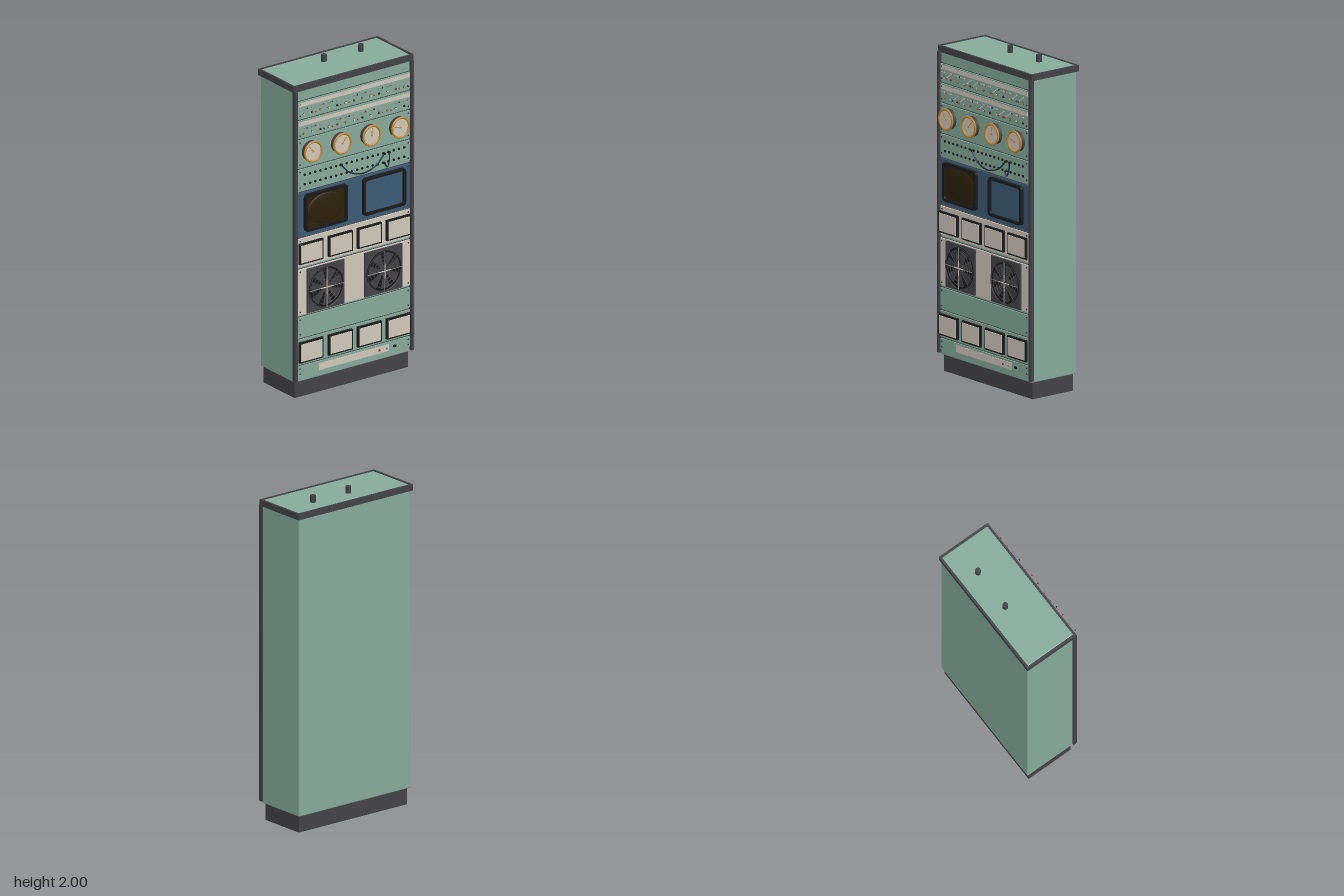
import * as THREE from 'three';
import { RoundedBoxGeometry } from 'three/addons/geometries/RoundedBoxGeometry.js';

const mat = (name, color) => Object.assign(new THREE.MeshStandardMaterial({ color }), { name });
const M = {
  green: mat('sageGreen', 0x85aa9a), charcoal: mat('charcoal', 0x434146), black: mat('black', 0x1b1b1c),
  cream: mat('cream', 0xcfc7ba), blue: mat('steelBlue', 0x3b5a73), gold: mat('brass', 0xc28a2c),
  brown: mat('amberGlass', 0x2c2009), red: mat('red', 0xa83832), steel: mat('steel', 0x9b9c9e),
  navy: mat('cableBlue', 0x1a2d3a),
};
const FACE = 0.157; // z of the panel fronts

export function createModel() {
  const root = new THREE.Group();
  root.name = 'equipmentRack';

  const add = (name, geo, material, x = 0, y = 0, z = 0, parent = root) => {
    const m = new THREE.Mesh(geo, material);
    m.name = name;
    m.position.set(x, y, z);
    parent.add(m);
    return m;
  };
  // Box given by its extents
  const box = (name, material, x0, x1, y0, y1, z0, z1, parent) =>
    add(name, new THREE.BoxGeometry(x1 - x0, y1 - y0, z1 - z0), material,
      (x0 + x1) / 2, (y0 + y1) / 2, (z0 + z1) / 2, parent);
  // Disc or rod whose axis points to the front
  const rod = (name, material, r, x, y, z0, z1, n = 12, parent) =>
    add(name, new THREE.CylinderGeometry(r, r, z1 - z0, n).rotateX(Math.PI / 2), material, x, y, (z0 + z1) / 2, parent);
  const group = (name, x, y) => {
    const g = new THREE.Group();
    g.name = name;
    g.position.set(x, y, 0);
    root.add(g);
    return g;
  };
  const roundRect = (S, w, h, r) => {
    const s = new S(), a = w / 2, b = h / 2;
    s.moveTo(-a + r, -b).lineTo(a - r, -b).quadraticCurveTo(a, -b, a, -b + r);
    s.lineTo(a, b - r).quadraticCurveTo(a, b, a - r, b).lineTo(-a + r, b);
    s.quadraticCurveTo(-a, b, -a, b - r).lineTo(-a, -b + r).quadraticCurveTo(-a, -b, -a + r, -b);
    return s;
  };
  // Rectangular frame with a hole, lying in the xy plane
  const frame = (w, h, r, t, depth, ri = r) => {
    const s = roundRect(THREE.Shape, w, h, r);
    s.holes.push(roundRect(THREE.Path, w - 2 * t, h - 2 * t, ri));
    return new THREE.ExtrudeGeometry(s, { depth, bevelEnabled: false, curveSegments: 6 });
  };

  // Cabinet shell
  box('plinth', M.charcoal, -0.408, 0.408, 0, 0.102, -0.175, 0.128);
  add('cabinet', new RoundedBoxGeometry(0.84, 1.856, 0.336, 2, 0.008), M.green, 0, 1.029, -0.024);
  add('topTrim', frame(0.864, 0.355, 0.004, 0.014, 0.038).rotateX(-Math.PI / 2), M.charcoal, 0, 1.922, -0.0235);
  for (const s of [-1, 1]) box('frontRail', M.charcoal, s * 0.419 - 0.009, s * 0.419 + 0.009, 0.113, 1.925, 0.135, 0.162);
  for (const x of [-0.047, 0.218]) {
    add('roofPost', new THREE.CylinderGeometry(0.0165, 0.0165, 0.05, 20), M.charcoal, x, 1.975, -0.075);
  }

  // Rack panels, each with a dark gap behind it and corner screws
  const panels = [
    ['switchPanel', M.green, 1.753, 1.857], ['switchPanel', M.green, 1.628, 1.738],
    ['gaugePanel', M.green, 1.447, 1.618], ['patchPanel', M.green, 1.303, 1.432],
    ['screenPanel', M.blue, 1.01, 1.286], ['meterPanel', M.cream, 0.825, 1.0],
    ['fanPanel', M.cream, 0.525, 0.808], ['blankPanel', M.green, 0.385, 0.508],
    ['meterPanel', M.green, 0.215, 0.37], ['powerPanel', M.green, 0.138, 0.203],
  ];
  for (const [name, m, y0, y1] of panels) {
    box(name + 'Gap', M.charcoal, -0.407, 0.407, y0 - 0.003, y1 + 0.003, 0.14, 0.148);
    box(name, m, -0.404, 0.404, y0, y1, 0.142, FACE);
    for (const x of [-0.39, 0.39]) for (const y of [y0 + 0.016, y1 - 0.016]) {
      rod('screw', M.charcoal, 0.005, x, y, FACE, FACE + 0.002, 8);
    }
  }

  // Toggle switches and indicator lamps
  const lamps = [M.cream, M.gold, M.black, M.red, M.cream];
  [1.838, 1.717].forEach((top, row) => {
    box('labelStrip', M.cream, -0.4, 0.4, top - 0.012, top + 0.012, FACE, FACE + 0.002);
    for (let i = 0; i < 13; i++) {
      const x = -0.365 + i * 0.0603, y = top - 0.03, up = (i * 5 + row * 3) % 7 < 4 ? 1 : -1;
      rod('toggleCollar', M.steel, 0.007, x, y, FACE, FACE + 0.008, 8);
      const lever = add('toggleLever', new THREE.CylinderGeometry(0.003, 0.0022, 0.04, 6), M.steel, x, y + up * 0.009, 0.179);
      lever.rotation.x = Math.PI / 2 - up * 0.45;
      const tip = add('toggleTip', new THREE.SphereGeometry(0.0042, 8, 6), (i + row) % 3 ? M.red : M.black, x, y + up * 0.017, 0.194);
      tip.scale.y = 1.3;
      rod('lampRim', M.charcoal, 0.0075, x, top - 0.062, FACE, FACE + 0.003, 10);
      rod('lamp', lamps[(i * 3 + row) % 5], 0.0055, x, top - 0.062, FACE, FACE + 0.007, 10);
    }
  });

  // Round gauges with brass rims
  const columns = [-0.317, -0.107, 0.104, 0.312];
  [0.65, -0.7, -0.1, 1.3].forEach((angle, i) => {
    const g = group('gauge', columns[i], 1.54);
    rod('gaugeBody', M.charcoal, 0.061, 0, 0, FACE, 0.183, 36, g);
    add('gaugeRim', new THREE.TorusGeometry(0.06, 0.0065, 8, 40), M.gold, 0, 0, 0.187, g);
    rod('gaugeDial', M.cream, 0.056, 0, 0, 0.18, 0.186, 36, g);
    rod('needleHub', M.gold, 0.006, 0, 0, 0.185, 0.19, 12, g);
    const needle = new THREE.BoxGeometry(0.0045, 0.048, 0.002).translate(0, 0.022, 0).rotateZ(angle);
    add('gaugeNeedle', needle, M.gold, 0, 0, 0.188, g);
  });

  // Patch sockets and hanging cables
  for (const y of [1.396, 1.337]) for (let i = 0; i < 20; i++) {
    rod('patchSocket', M.black, 0.0075, -0.358 + i * 0.0377, y, FACE, FACE + 0.005, 10);
  }
  const cable = (points) => {
    const path = new THREE.CatmullRomCurve3(points.map((p) => new THREE.Vector3(...p)));
    add('patchCable', new THREE.TubeGeometry(path, 28, 0.0045, 6), M.navy);
    for (const p of [points[0], points[points.length - 1]]) rod('cablePlug', M.black, 0.007, p[0], p[1], FACE, 0.174, 10);
  };
  cable([[-0.1, 1.396, 0.168], [-0.045, 1.341, 0.173], [0.052, 1.313, 0.175], [0.15, 1.341, 0.173], [0.21, 1.396, 0.168]]);
  cable([[0.246, 1.396, 0.168], [0.241, 1.34, 0.173], [0.226, 1.312, 0.175], [0.21, 1.337, 0.168]]);

  // Display screens in rounded bezels
  for (const [x, m] of [[-0.211, M.brown], [0.208, M.blue]]) {
    const g = group('screen', x, 1.157);
    add('screenBezel', frame(0.306, 0.234, 0.025, 0.016, 0.02, 0.018), M.black, 0, 0, FACE, g);
    const glass = new THREE.ShapeGeometry(roundRect(THREE.Shape, 0.282, 0.21, 0.018), 6);
    add('screenGlass', glass, m, 0, 0, 0.163, g);
  }
  const bulge = add('screenBulge', new THREE.SphereGeometry(1, 32, 16, 0, Math.PI), M.brown, -0.211, 1.157, 0.162);
  bulge.scale.set(0.132, 0.095, 0.01);

  // Rectangular meters
  for (const y of [0.908, 0.291]) for (const x of columns) {
    const g = group('meter', x, y);
    box('meterCase', M.black, -0.086, 0.086, -0.064, 0.064, FACE, 0.172, g);
    box('meterFace', M.cream, -0.076, 0.076, -0.054, 0.054, 0.171, 0.176, g);
  }

  // Cooling fans with wire guards
  for (const x of [-0.211, 0.206]) {
    const g = group('fan', x, 0.665);
    box('fanHousing', M.charcoal, -0.134, 0.134, -0.138, 0.138, FACE, 0.167, g);
    rod('fanOpening', M.black, 0.124, 0, 0, 0.166, 0.169, 40, g);
    for (let i = 0; i < 7; i++) {
      const blade = new THREE.RingGeometry(0.035, 0.112, 6, 1, i * Math.PI * 2 / 7, 0.6);
      add('fanBlade', blade, M.charcoal, 0, 0, 0.1705, g);
    }
    rod('fanHub', M.charcoal, 0.035, 0, 0, 0.168, 0.174, 24, g);
    for (const r of [0.03, 0.054, 0.078, 0.102, 0.124]) {
      add('guardRing', new THREE.TorusGeometry(r, 0.0018, 5, 40), M.charcoal, 0, 0, 0.177, g);
    }
    for (let i = 0; i < 4; i++) {
      const spoke = new THREE.BoxGeometry(0.25, 0.0028, 0.0028).rotateZ(i * Math.PI / 4);
      add('guardSpoke', spoke, i % 2 ? M.charcoal : M.steel, 0, 0, 0.178, g);
    }
    box('guardCross', M.cream, -0.045, 0.045, -0.0025, 0.0025, 0.177, 0.181, g);
    box('guardCross', M.cream, -0.0025, 0.0025, -0.045, 0.045, 0.177, 0.181, g);
  }

  // Power strip controls
  box('powerStrip', M.cream, -0.257, 0.25, 0.149, 0.191, FACE, FACE + 0.003);
  rod('powerLamp', M.red, 0.007, 0.178, 0.17, FACE, 0.166);
  rod('powerButton', M.steel, 0.007, 0.232, 0.17, FACE, 0.166);
  box('powerSwitch', M.black, 0.281, 0.299, 0.165, 0.177, FACE, 0.165);

  return root;
}
